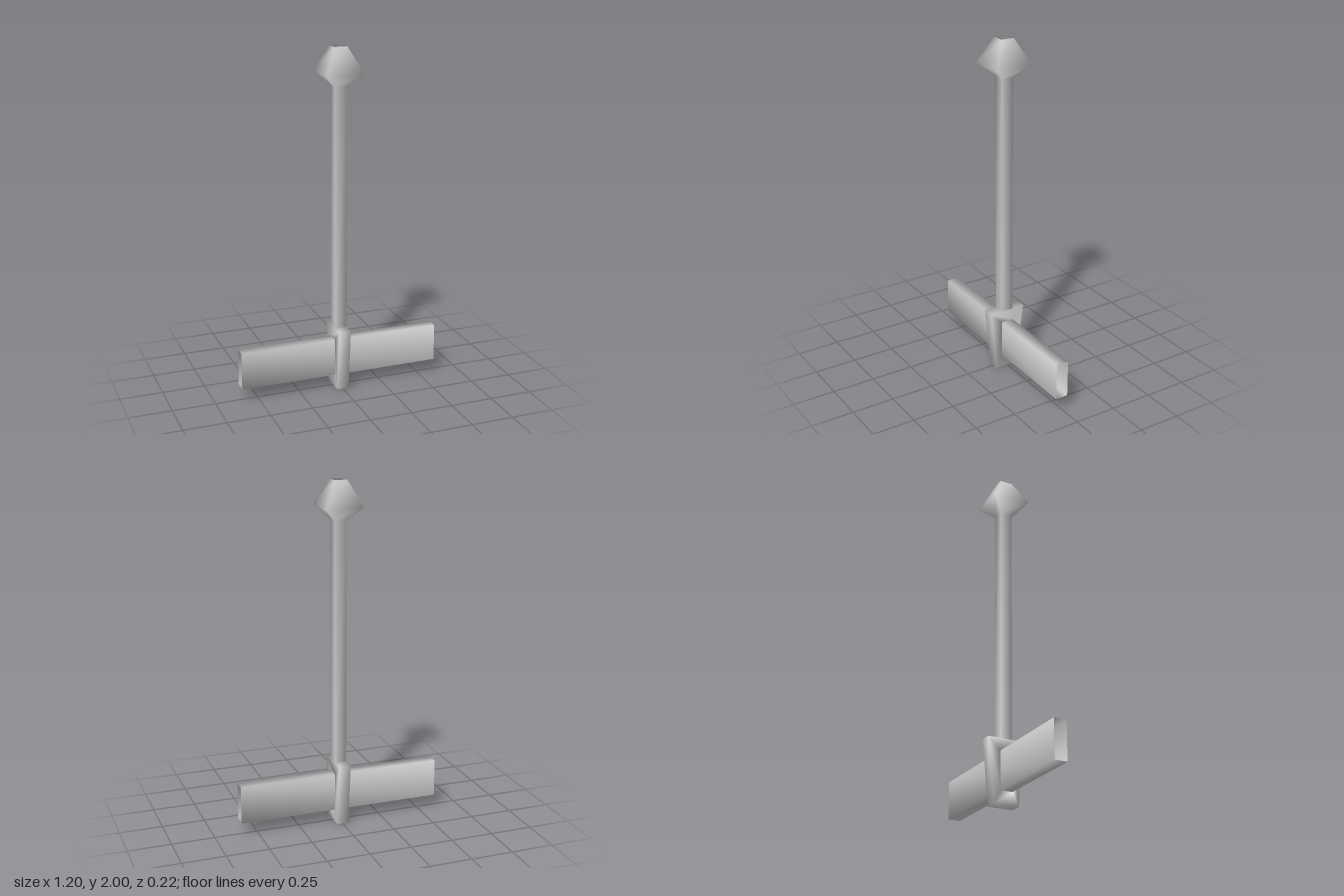
import * as THREE from 'three';
import { mergeVertices } from 'three/addons/utils/BufferGeometryUtils.js';

const material = new THREE.MeshStandardMaterial({ color: 0xcccccc, side: THREE.DoubleSide });

// Open-ended rectangular tube along y; each ring is [y, half width x, half depth z].
function squareLoft(rings) {
  const positions = [];
  const index = [];
  for (const [y, w, d] of rings) positions.push(-w, y, -d, w, y, -d, w, y, d, -w, y, d);
  for (let r = 0; r < rings.length - 1; r++) {
    for (let i = 0; i < 4; i++) {
      const a = r * 4 + i;
      const b = r * 4 + (i + 1) % 4;
      index.push(a, a + 4, b, b, a + 4, b + 4);
    }
  }
  const geometry = new THREE.BufferGeometry();
  geometry.setAttribute('position', new THREE.Float32BufferAttribute(positions, 3));
  geometry.setIndex(index);
  geometry.computeVertexNormals();
  return geometry;
}

function part(name, geometry) {
  const mesh = new THREE.Mesh(geometry, material);
  mesh.name = name;
  return mesh;
}

// Tapered block with a rectangular slot running through it along x.
function socketGeometry() {
  const shape = new THREE.Shape([[-0.073, 0], [0.073, 0], [0.11, 0.37], [-0.11, 0.37]]
    .map(([z, y]) => new THREE.Vector2(z, y)));
  shape.holes.push(new THREE.Path([[-0.037, 0.077], [-0.037, 0.298], [0.037, 0.298], [0.037, 0.077]]
    .map(([z, y]) => new THREE.Vector2(z, y))));
  const solid = new THREE.ExtrudeGeometry(shape, { depth: 0.07, bevelEnabled: false });
  solid.rotateY(-Math.PI / 2).translate(0.035, 0, 0);
  // Shared corners give the soft shading across edges.
  solid.deleteAttribute('normal');
  solid.deleteAttribute('uv');
  const geometry = mergeVertices(solid);
  geometry.computeVertexNormals();
  return geometry;
}

export function createModel() {
  const group = new THREE.Group();
  group.name = 'model';

  // Long square shaft flaring into the faceted, open-topped head
  group.add(part('shaftAndHead', squareLoft([
    [0.37, 0.035, 0.035],
    [1.78, 0.035, 0.035],
    [1.853, 0.11, 0.11],
    [2, 0.037, 0.037],
  ])));

  // Tapered socket at the foot
  group.add(part('socket', socketGeometry()));

  // Hollow crossbar passing through the socket
  const crossbar = squareLoft([[-0.6, 0.11, 0.037], [0.6, 0.11, 0.037]]);
  crossbar.rotateZ(Math.PI / 2).translate(0, 0.188, 0);
  group.add(part('crossbar', crossbar));

  return group;
}
